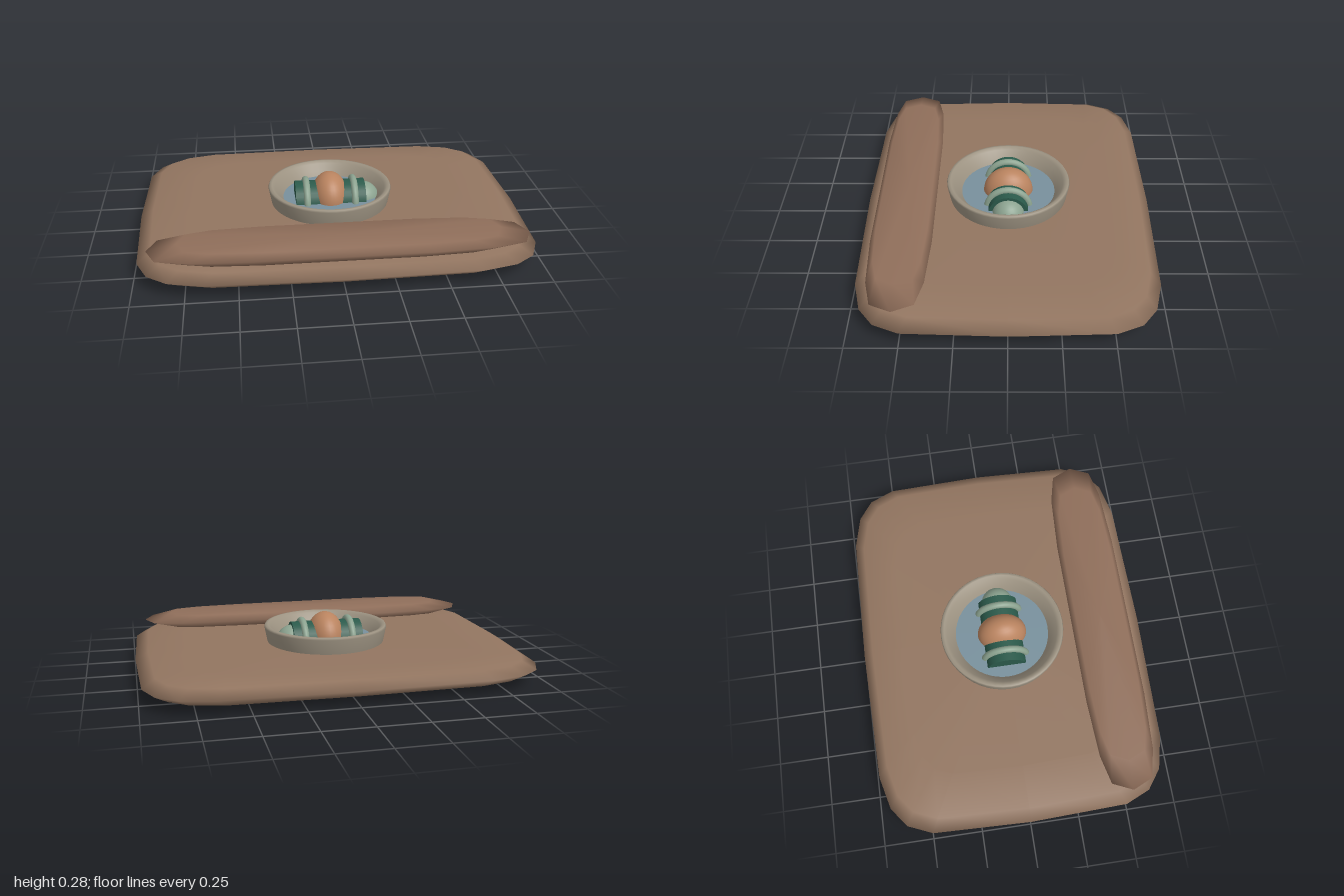
import * as THREE from 'three';
import { mergeVertices } from 'three/addons/utils/BufferGeometryUtils.js';

const mat = (color, side = THREE.FrontSide) => new THREE.MeshStandardMaterial({ color, side });
const cloth = mat(0x927560);
const clothRoll = mat(0x8f6e5a);
const clay = mat(0x9c9281, THREE.DoubleSide);
const darkGreen = mat(0x2b5a4b);
const paleGreen = mat(0x8ca390);

// Soft cushion: a sphere squared off by raising each direction to a power
function cushionGeometry(rx, ry, rz, sides, rings, outlinePower, profilePower) {
  const geo = new THREE.SphereGeometry(1, sides, rings);
  const pos = geo.attributes.position;
  const pow = (v, p) => (Math.abs(v) < 1e-6 ? 0 : Math.sign(v) * Math.abs(v) ** p);
  for (let i = 0; i < pos.count; i++) {
    const x = pos.getX(i), y = pos.getY(i), z = pos.getZ(i);
    const r = Math.hypot(x, z);
    const s = pow(r, profilePower);
    const cx = r > 1e-6 ? x / r : 0, cz = r > 1e-6 ? z / r : 0;
    pos.setXYZ(i, rx * s * pow(cx, outlinePower), ry * pow(y, profilePower), rz * s * pow(cz, outlinePower));
  }
  // Weld the seam so the shading stays smooth
  geo.deleteAttribute('uv');
  geo.deleteAttribute('normal');
  const welded = mergeVertices(geo, 1e-5);
  welded.computeVertexNormals();
  return welded;
}

export function createModel() {
  const group = new THREE.Group();
  const add = (name, geo, material, x = 0, y = 0, z = 0, parent = group) => {
    const mesh = new THREE.Mesh(geo, material);
    mesh.name = name;
    mesh.position.set(x, y, z);
    parent.add(mesh);
    return mesh;
  };

  // Base pad and the roll lying along its front edge
  add('pad', cushionGeometry(1, 0.055, 0.748, 20, 6, 0.35, 0.47), cloth, 0, 0.0775, 0);
  add('frontRoll', cushionGeometry(0.93, 0.04, 0.155, 14, 4, 0.49, 0.49), clothRoll, 0, 0.161, 0.53);

  // Bowl set into the pad, its foot just showing underneath
  const bowl = [
    [0, 0.02], [0.19, 0.02], [0.285, 0.05], [0.31, 0.13], [0.325, 0.208], [0.32, 0.218],
    [0.306, 0.22], [0.29, 0.208], [0.262, 0.175], [0.242, 0.14],
  ].map(([r, y]) => new THREE.Vector2(r, y));
  add('bowl', new THREE.LatheGeometry(bowl, 48), clay);
  const water = add('water', new THREE.CircleGeometry(0.247, 48), mat(0x78909c, THREE.DoubleSide), 0, 0.15, 0);
  water.rotation.x = -Math.PI / 2;

  // Banded capsule lying along x in the bowl
  const capsule = new THREE.Group();
  capsule.name = 'capsule';
  capsule.position.y = 0.128;
  group.add(capsule);

  const body = add('capsuleBody', new THREE.CylinderGeometry(0.105, 0.105, 0.37, 32), darkGreen, 0, 0, 0, capsule);
  body.rotation.z = Math.PI / 2;
  const dome = add('endDome', new THREE.SphereGeometry(0.085, 28, 18), paleGreen, 0.18, 0, 0, capsule);
  dome.scale.y = 1.05;
  for (const x of [-0.126, 0, 0.126]) {
    const ring = add('band', new THREE.TorusGeometry(0.11, 0.018, 12, 36), paleGreen, x, 0, 0, capsule);
    ring.rotation.y = Math.PI / 2;
  }
  const ball = add('centreBall', new THREE.SphereGeometry(0.13, 32, 20), mat(0xb9835f), 0, 0.022, 0, capsule);
  ball.scale.x = 0.75;

  return group;
}
